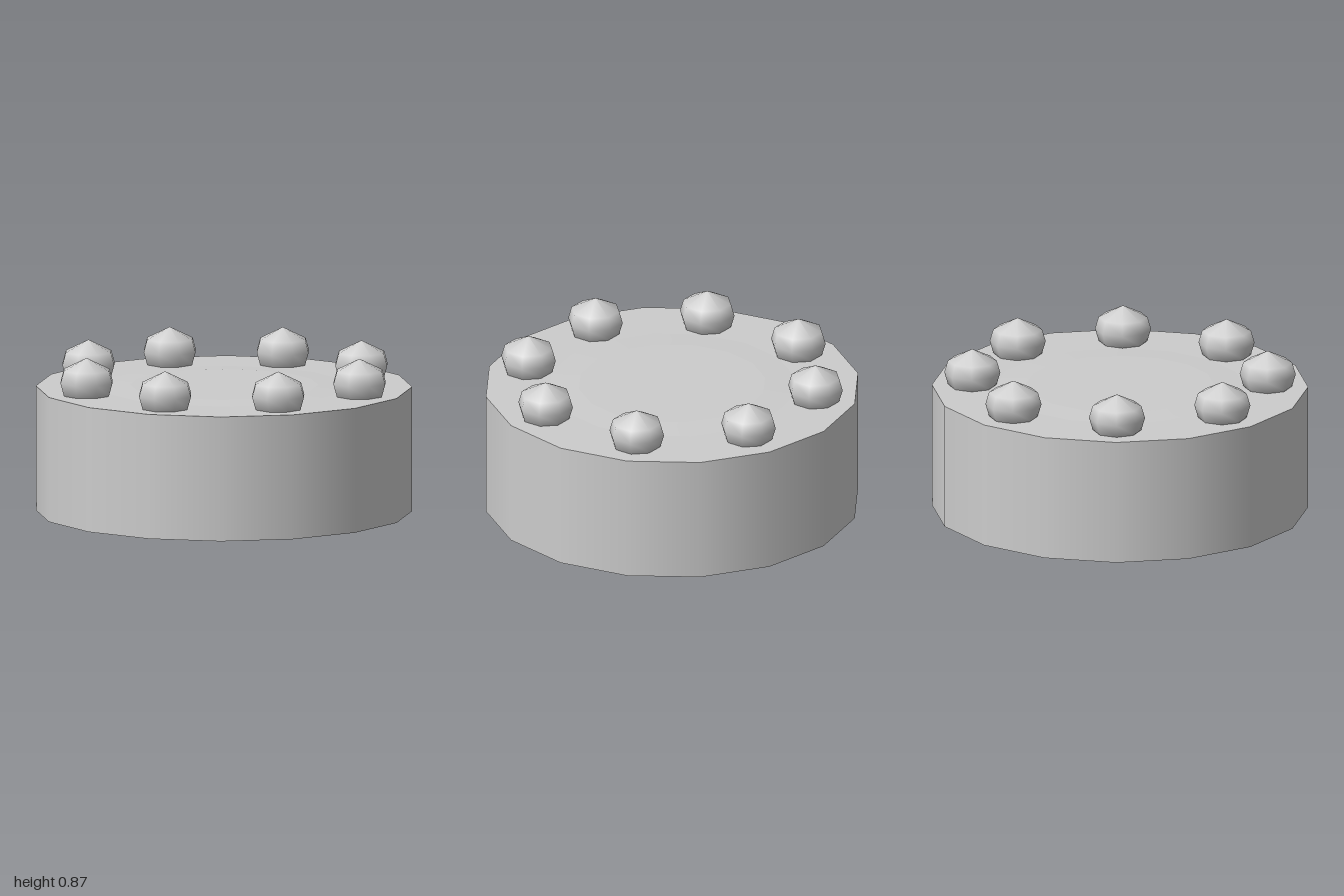
import * as THREE from 'three';

export function createModel() {
  const model = new THREE.Group();
  const grey = new THREE.MeshStandardMaterial({ color: 0xcccccc });
  grey.name = 'light grey';

  function add(name, geometry, x = 0, y = 0, z = 0) {
    const mesh = new THREE.Mesh(geometry, grey);
    mesh.name = name;
    mesh.position.set(x, y, z);
    model.add(mesh);
    return mesh;
  }

  // Sixteen-sided drum with smooth walls
  const height = 0.67;
  add('body', new THREE.CylinderGeometry(1, 1, height, 16), 0, height / 2, 0);

  // Barely raised centre of the top
  add('topLayer', new THREE.CylinderGeometry(0.5, 0.68, 0.01, 16), 0, height + 0.004, 0);

  // Ring of eight-sided pointed beads, sunk slightly into the top
  const profile = [[0, -0.14], [0.08, -0.12], [0.13, -0.065], [0.149, 0], [0.13, 0.065], [0, 0.13]]
    .map(([r, y]) => new THREE.Vector2(r, y));
  const beadGeometry = new THREE.LatheGeometry(profile, 8, Math.PI / 8);
  for (let i = 0; i < 8; i++) {
    const angle = (i + 0.5) * Math.PI / 4;
    add('bead' + (i + 1), beadGeometry, 0.785 * Math.cos(angle), 0.74, 0.785 * Math.sin(angle));
  }

  return model;
}
